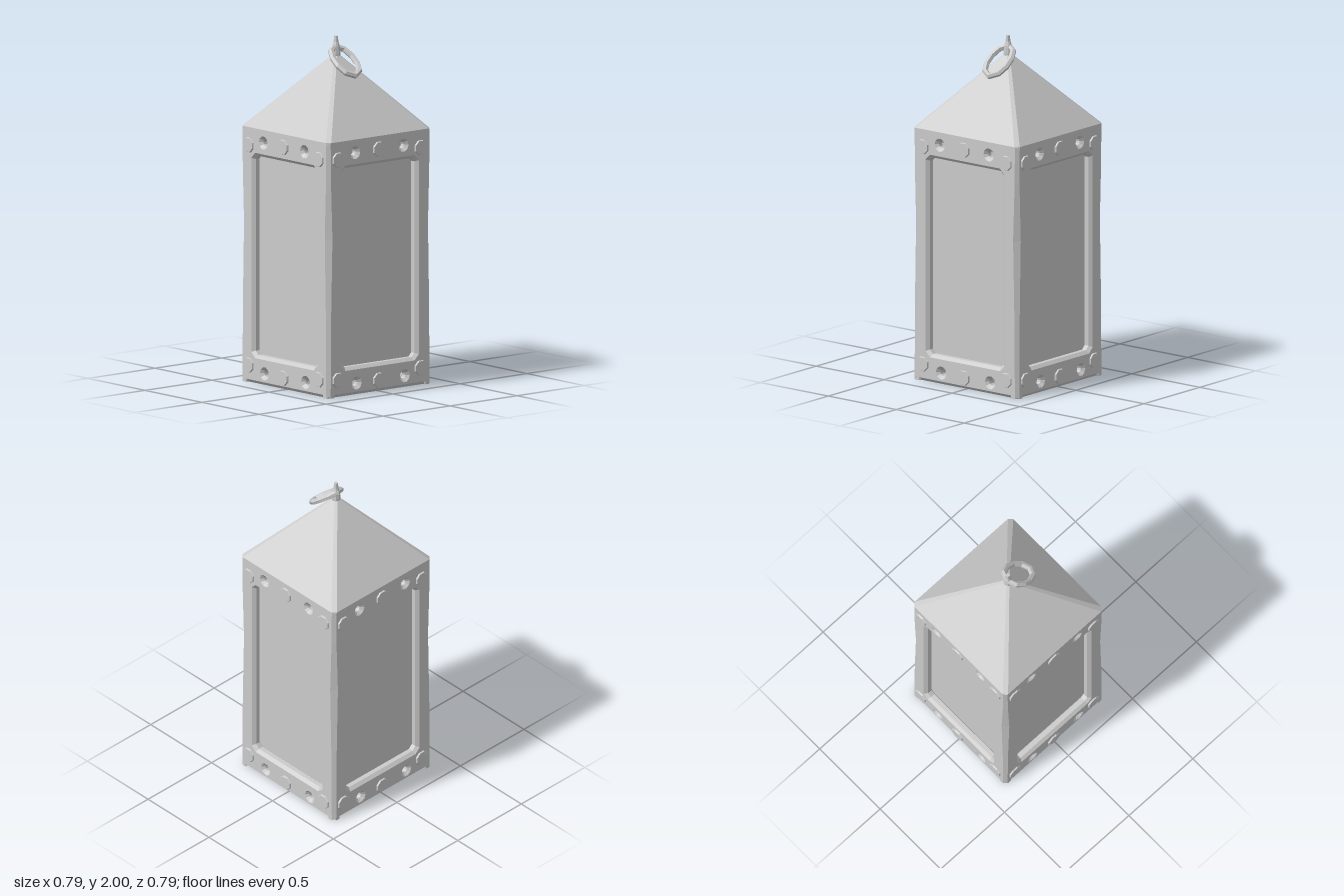
import * as THREE from 'three';

const material = new THREE.MeshStandardMaterial({ color: 0xcccccc, flatShading: true, side: THREE.DoubleSide });

function part(name, geometry) {
  const mesh = new THREE.Mesh(geometry, material);
  mesh.name = name;
  return mesh;
}

// Square with cut corners: half size h, corner cut c, at height y
function cutSquare(h, c, y) {
  const k = h - c;
  return [[h, -k], [h, k], [k, h], [-k, h], [-h, k], [-h, -k], [-k, -h], [k, -h]]
    .map(([x, z]) => [x, y, z]);
}

// Skin over a stack of rings, lowest first
function loft(rings) {
  const n = rings[0].length, index = [];
  for (let r = 0; r < rings.length - 1; r++) {
    for (let i = 0; i < n; i++) {
      const a = r * n + i, b = r * n + (i + 1) % n;
      index.push(a, a + n, b, b, a + n, b + n);
    }
  }
  const geometry = new THREE.BufferGeometry();
  geometry.setAttribute('position', new THREE.Float32BufferAttribute(rings.flat(2), 3));
  geometry.setIndex(index);
  const flat = geometry.toNonIndexed();
  flat.computeVertexNormals();
  return flat;
}

// One framed wall: worn edges, window opening and drilled holes, all chamfered
function wallGeometry() {
  const H = 0.385, chamfer = 0.018;
  const worn = [[H, 0], [H - 0.003, 0.45], [H - 0.013, 0.92], [H - 0.002, 1.25], [H, 1.475]];
  const outline = [...worn, ...worn.map(([x, y]) => [-x, y]).reverse()];
  const shape = new THREE.Shape(outline.map(([x, y]) => new THREE.Vector2(x, y)));

  const w = 0.272, low = 0.165, high = 1.315, cut = 0.022;
  shape.holes.push(new THREE.Path([
    [-w, low + cut], [-w, high - cut], [-w + cut, high], [w - cut, high],
    [w, high - cut], [w, low + cut], [w - cut, low], [-w + cut, low],
  ].map(([x, y]) => new THREE.Vector2(x, y))));

  for (const [x, y] of [[-0.185, 1.4], [0.175, 1.4], [-0.175, 0.068], [0.185, 0.068]]) {
    const points = [];
    for (let i = 0; i < 10; i++) {
      const a = -i / 10 * Math.PI * 2;
      points.push(new THREE.Vector2(x + 0.02 * Math.cos(a), y + 0.02 * Math.sin(a)));
    }
    shape.holes.push(new THREE.Path(points));
  }
  const depth = 0.027;
  return new THREE.ExtrudeGeometry(shape, {
    depth, bevelEnabled: true, bevelSegments: 1,
    bevelSize: chamfer, bevelThickness: chamfer, bevelOffset: -chamfer,
  }).translate(0, 0, H - depth - chamfer);
}

export function createModel() {
  const lantern = new THREE.Group();
  lantern.name = 'lantern';

  // Recessed panes and the raised floor
  const core = part('panes', new THREE.BoxGeometry(0.67, 1.31, 0.67));
  core.position.y = 0.15 + 1.31 / 2;
  lantern.add(core);

  // Four walls with their rivets
  const wall = wallGeometry();
  const rivet = new THREE.CylinderGeometry(0.042, 0.05, 0.02, 8).rotateY(Math.PI / 8).rotateX(Math.PI / 2);
  const rivetSpots = [
    [-0.312, 1.372], [-0.008, 1.4], [0.302, 1.372],
    [-0.312, 0.1], [-0.008, 0.066], [0.302, 0.1],
  ];
  for (let i = 0; i < 4; i++) {
    const side = new THREE.Group();
    side.name = 'side' + (i + 1);
    side.add(part('frame', wall));
    for (const [x, y] of rivetSpots) {
      const head = part('rivet', rivet);
      head.position.set(x, y, 0.384);
      side.add(head);
    }
    side.rotation.y = i * Math.PI / 2;
    lantern.add(side);
  }

  // Pyramid roof with chamfered ridges
  lantern.add(part('roof', loft([
    cutSquare(0.386, 0.022, 1.457),
    cutSquare(0.386, 0.022, 1.475),
    cutSquare(0.016, 0.012, 1.895),
  ])));

  // Finial spike
  const spike = [[0.026, 1.87], [0.026, 1.9], [0.022, 1.94], [0.014, 1.965], [0.011, 2], [0, 2]];
  lantern.add(part('spike', new THREE.LatheGeometry(spike.map(([r, y]) => new THREE.Vector2(r, y)), 8)));

  // Oval carrying ring, hanging to one side
  const points = [];
  for (let i = 0; i < 10; i++) {
    const a = i / 10 * Math.PI * 2, along = 0.115 * Math.cos(a);
    points.push(new THREE.Vector3(0.08 + along * 0.78, 1.865 - along * 0.625, 0.073 * Math.sin(a)));
  }
  const oval = new THREE.CatmullRomCurve3(points, true);
  lantern.add(part('ring', new THREE.TubeGeometry(oval, 10, 0.018, 6, true)));

  return lantern;
}
